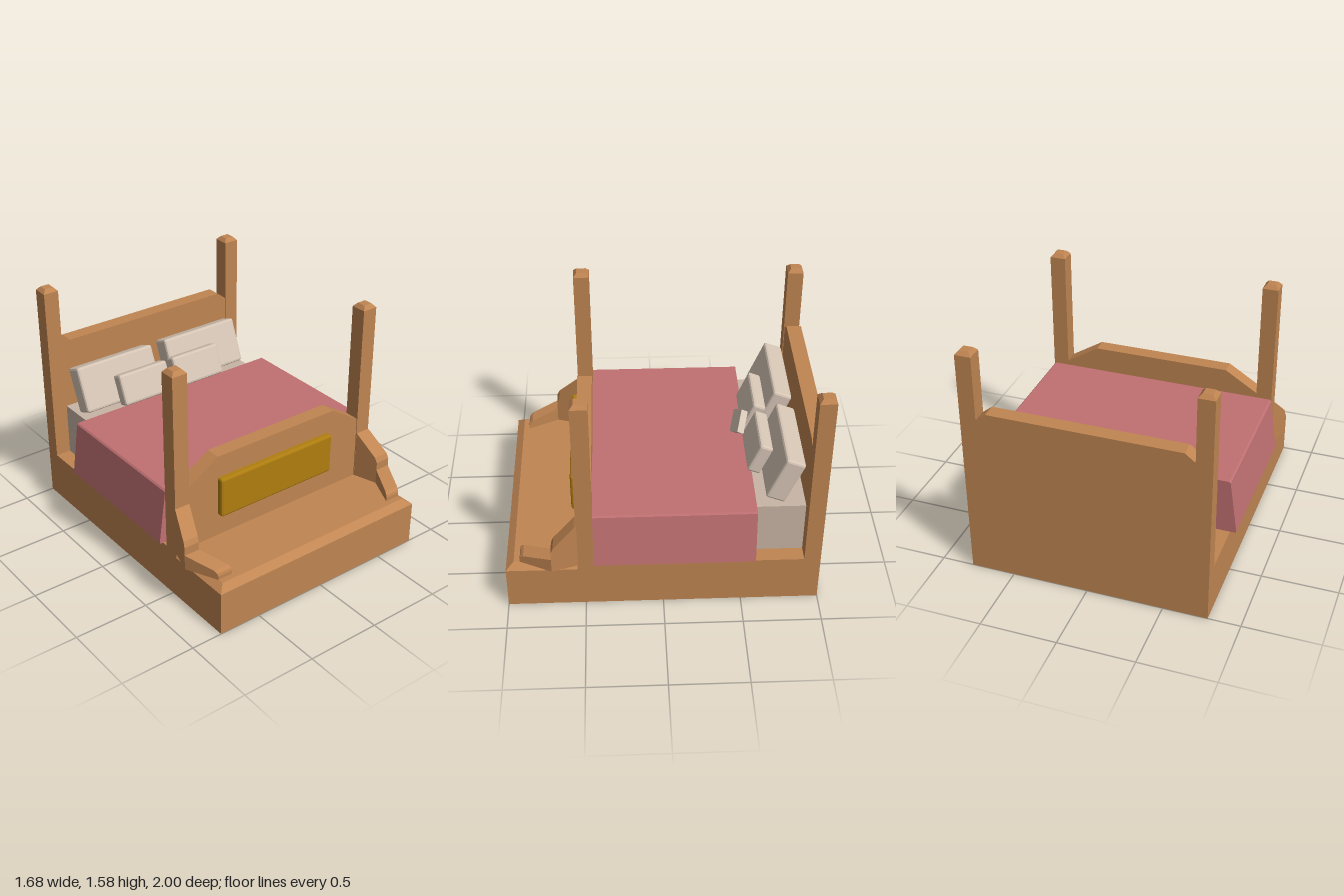
import * as THREE from 'three';
import { RoundedBoxGeometry } from 'three/addons/geometries/RoundedBoxGeometry.js';

const material = (color) => new THREE.MeshStandardMaterial({ color, flatShading: true });

export function createModel() {
  const model = new THREE.Group();
  model.name = 'fourPosterBed';
  const wood = material(0xc08552);
  const linen = material(0xd6c5b5);
  const sheet = material(0xc8b6a5);
  const red = material(0xc07072);
  const gold = material(0xb07e10);

  const add = (name, geometry, mat) => {
    const mesh = new THREE.Mesh(geometry, mat);
    mesh.name = name;
    model.add(mesh);
    return mesh;
  };
  // Box given by its lower and upper corners
  const box = (name, mat, [x0, y0, z0], [x1, y1, z1]) =>
    add(name, new THREE.BoxGeometry(x1 - x0, y1 - y0, z1 - z0)
      .translate((x0 + x1) / 2, (y0 + y1) / 2, (z0 + z1) / 2), mat);
  const shapeOf = (points) => new THREE.Shape(points.map(([x, y]) => new THREE.Vector2(x, y)));
  // Front outline (x, y) extruded from z0 to z1
  const panel = (points, z0, z1) =>
    new THREE.ExtrudeGeometry(shapeOf(points), { depth: z1 - z0, bevelEnabled: false }).translate(0, 0, z0);
  // Side outline (z, y) extruded across a width centred on x = 0
  const sidePanel = (points, width) =>
    new THREE.ExtrudeGeometry(shapeOf(points), { depth: width, bevelEnabled: false })
      .rotateY(-Math.PI / 2).translate(width / 2, 0, 0);

  // Base with a chamfered top edge around the front step
  box('base', wood, [-0.79, 0, -1], [0.79, 0.295, 1]);
  add('baseDeck', sidePanel([[-1, 0.295], [0.55, 0.295], [0.5, 0.33], [-1, 0.33]], 1.58), wood);
  const step = new THREE.BoxGeometry(1.58, 0.035, 0.5).translate(0, 0.3125, 0.75);
  const sp = step.attributes.position;
  for (let i = 0; i < sp.count; i++) {
    if (sp.getY(i) < 0.31) continue;
    sp.setX(i, Math.sign(sp.getX(i)) * 0.74);
    if (sp.getZ(i) > 0.9) sp.setZ(i, 0.95);
  }
  add('frontStep', step, wood);

  // Corner posts with tapered caps
  for (const x of [-0.7375, 0.7375]) {
    for (const z of [-0.9475, 0.4925]) {
      box('post', wood, [x - 0.0525, 0.29, z - 0.0525], [x + 0.0525, 1.55, z + 0.0525]);
      const cap = new THREE.CylinderGeometry(0.03 * Math.SQRT2, 0.0525 * Math.SQRT2, 0.025, 4)
        .rotateY(Math.PI / 4).translate(x, 1.5625, z);
      add('postCap', cap, wood);
    }
  }

  // Headboard and footboard with cut corners
  const board = (low, high, inner) =>
    [[-0.69, 0.3], [0.69, 0.3], [0.69, low], [inner, high], [-inner, high], [-0.69, low]];
  add('headboard', panel(board(1.12, 1.175, 0.62), -1, -0.9), wood);
  add('footboard', panel(board(0.765, 0.905, 0.465), 0.44, 0.54), wood);

  // Gold plate on the footboard
  add('goldPlate', new RoundedBoxGeometry(0.895, 0.275, 0.07, 1, 0.014), gold)
    .position.set(-0.018, 0.618, 0.547);

  // Mattress, slats and blanket
  box('slats', wood, [-0.69, 0.33, -0.5], [0.69, 0.37, 0.44]);
  box('mattress', sheet, [-0.685, 0.33, -0.895], [0.685, 0.69, -0.5]);
  add('blanket', panel([[-0.83, 0.363], [0.83, 0.363], [0.84, 0.37], [0.79, 0.725], [0.78, 0.735],
    [-0.78, 0.735], [-0.79, 0.725], [-0.84, 0.37]], -0.58, 0.44), red);

  // Leaning pillows
  const tilt = -0.39;
  const pillow = (name, x, y, z, w, h, d) => {
    const mesh = add(name, new RoundedBoxGeometry(w, h, d, 1, 0.016), linen);
    mesh.position.set(x, y, z);
    mesh.rotation.x = tilt;
  };
  for (const s of [-1, 1]) {
    pillow('largePillow', s * 0.355 - 0.005, 0.856, -0.763, 0.6, 0.315, 0.132);
    pillow('smallPillow', s * 0.218 - 0.005, 0.833, -0.63, 0.385, 0.215, 0.09);
  }
  const cushion = add('diamondCushion',
    panel([[0, -0.095], [0.125, 0], [0, 0.095], [-0.125, 0]], -0.0225, 0.0225), linen);
  cushion.position.set(-0.01, 0.832, -0.53);
  cushion.rotation.x = tilt;

  // Angled arms beside the step, sheared sideways as they run forward
  const arm = (name, points, side, [xa, za], [xb, zb]) => {
    const geometry = sidePanel(points, 0.105);
    const p = geometry.attributes.position;
    for (let i = 0; i < p.count; i++) {
      const t = (p.getZ(i) - za) / (zb - za);
      p.setX(i, p.getX(i) + side * (xa + (xb - xa) * t));
    }
    geometry.computeVertexNormals();
    add(name, geometry, wood);
  };
  for (const s of [-1, 1]) {
    arm('armUpper', [[0.54, 0.33], [0.705, 0.33], [0.705, 0.485], [0.69, 0.52], [0.555, 0.65], [0.54, 0.66]],
      s, [0.7375, 0.54], [0.7875, 0.705]);
    arm('armLower', [[0.705, 0.33], [0.91, 0.33], [0.91, 0.355], [0.905, 0.372], [0.885, 0.388], [0.705, 0.43]],
      s, [0.7875, 0.705], [0.69, 0.91]);
  }
  return model;
}
